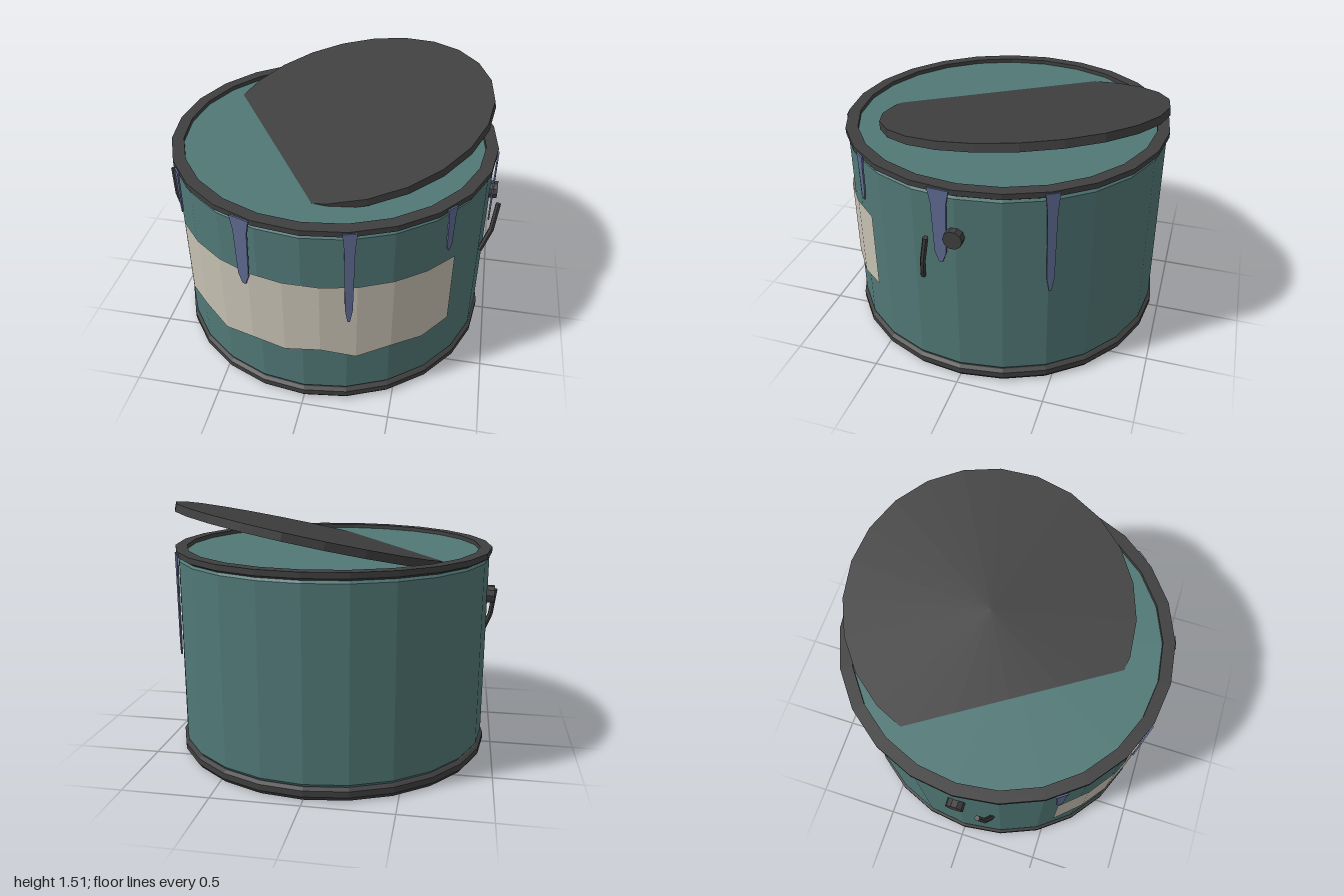
import * as THREE from 'three';

const SIDES = 24;

function material(name, color, side = THREE.FrontSide) {
  const m = new THREE.MeshStandardMaterial({ color, flatShading: true, side });
  m.name = name;
  return m;
}

export function createModel() {
  const teal = material('teal', 0x507876);
  const darkMetal = material('dark metal', 0x3f3f3f);
  const paper = material('paper', 0xc6c0b2, THREE.DoubleSide);
  const paint = material('blue paint', 0x5e6a90);

  const model = new THREE.Group();
  model.name = 'paintCan';

  function add(name, geometry, mat, parent = model) {
    const mesh = new THREE.Mesh(geometry, mat);
    mesh.name = name;
    parent.add(mesh);
    return mesh;
  }

  const lathe = (profile) =>
    new THREE.LatheGeometry(profile.map(([r, y]) => new THREE.Vector2(r, y)), SIDES);

  // Closed can with slightly bevelled ends
  add('body', lathe([
    [0, 0.008], [0.92, 0.008], [0.92, 0.07], [0.935, 0.09],
    [0.935, 1.175], [0.92, 1.195], [0.90, 1.21], [0, 1.21],
  ]), teal);

  // Metal rings round the top and bottom
  add('topRim', lathe([
    [0.88, 1.19], [0.93, 1.19], [0.95, 1.203], [0.95, 1.235], [0.88, 1.235], [0.88, 1.19],
  ]), darkMetal);
  add('baseRim', lathe([
    [0.915, 0], [0.932, 0], [0.95, 0.025], [0.95, 0.06], [0.932, 0.073], [0.915, 0.073], [0.915, 0],
  ]), darkMetal);

  // Loose lid, tilted and sunk into the top on one side
  const lid = add('lid', new THREE.CylinderGeometry(0.825, 0.825, 0.045, SIDES), darkMetal);
  lid.position.set(0.092, 1.303, -0.125);
  lid.rotation.set(0.123, 0, 0.19);

  // Curved paper label with a torn lower edge
  const torn = [0.375, 0.40, 0.35, 0.39, 0.375, 0.405, 0.35, 0.39, 0.375, 0.405];
  const labelPos = [];
  const labelIndex = [];
  torn.forEach((y, i) => {
    const a = -0.95 + (1.9 * i) / (torn.length - 1);
    const x = 0.946 * Math.sin(a);
    const z = 0.946 * Math.cos(a);
    labelPos.push(x, y, z, x, 0.867, z);
    if (i > 0) {
      const k = 2 * i;
      labelIndex.push(k - 2, k, k + 1, k - 2, k + 1, k - 1);
    }
  });
  const labelGeometry = new THREE.BufferGeometry();
  labelGeometry.setAttribute('position', new THREE.Float32BufferAttribute(labelPos, 3));
  labelGeometry.setIndex(labelIndex);
  labelGeometry.computeVertexNormals();
  add('label', labelGeometry, paper);

  // Paint drips hanging from the rim: [half width, length], repeated round the can
  const dripSizes = [[0.036, 0.275], [0.06, 0.435], [0.038, 0.595]];
  const dripProfile = [[1, 0], [0.72, 0.19], [0.55, 0.86], [0.18, 1]];
  for (let i = 0; i < 6; i++) {
    const [w, len] = dripSizes[i % 3];
    const right = dripProfile.map(([u, v]) => new THREE.Vector2(u * w, 1.225 - v * len));
    const left = right.map((p) => new THREE.Vector2(-p.x, p.y)).reverse();
    const geometry = new THREE.ExtrudeGeometry(new THREE.Shape([...right, ...left]), {
      depth: 0.009, bevelEnabled: false,
    });
    geometry.translate(0, 0, 0.945);
    add('drip', geometry, paint).rotation.y = -0.95 + 0.61 * i;
  }

  // Ears and broken handle wires on both sides
  const up = new THREE.Vector3(0, 1, 0);
  for (const s of [1, -1]) {
    const ear = add('handleEar', new THREE.CylinderGeometry(0.053, 0.053, 0.07, 10), darkMetal);
    ear.rotation.z = Math.PI / 2;
    ear.position.set(s * 0.941, 0.952, 0);

    const wire = new THREE.Group();
    wire.name = 'handleWire';
    model.add(wire);
    const path = [[0.985, 0.95, 0.14], [0.966, 0.79, 0.172], [0.915, 0.652, 0.198]]
      .map(([x, y, z]) => new THREE.Vector3(s * x, y, z));
    for (let i = 0; i < 2; i++) {
      const dir = path[i].clone().sub(path[i + 1]);
      const part = add('wireSegment',
        new THREE.CylinderGeometry(0.016, 0.016, dir.length() + 0.004, 6), darkMetal, wire);
      part.position.copy(path[i]).add(path[i + 1]).multiplyScalar(0.5);
      part.quaternion.setFromUnitVectors(up, dir.normalize());
    }
  }

  return model;
}
